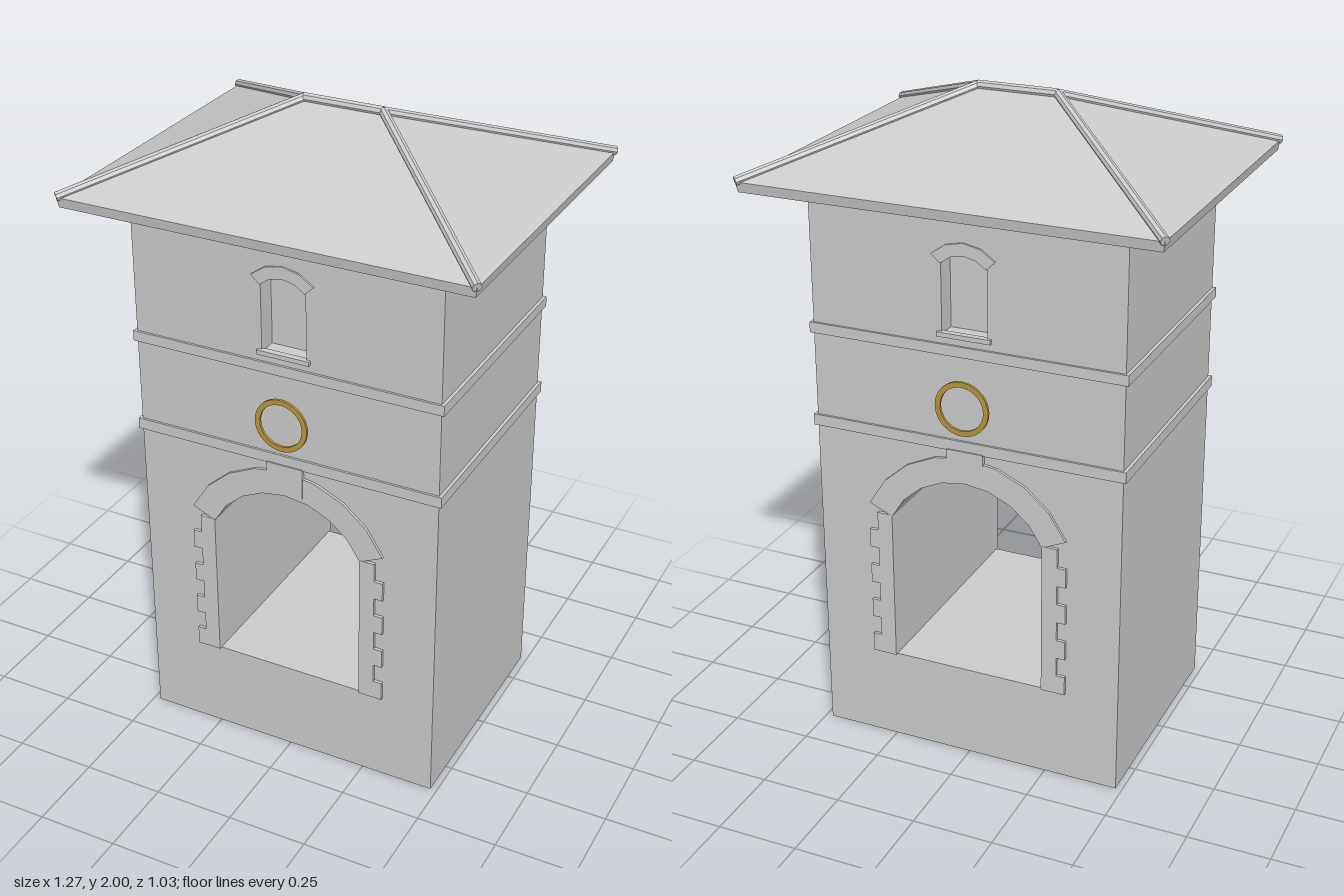
import * as THREE from 'three';

const W = 0.48, D = 0.365, H = 1.75; // half width, half depth and height of the tower

const stone = new THREE.MeshStandardMaterial({ color: 0xcccccc, flatShading: true, side: THREE.DoubleSide });
const gold = new THREE.MeshStandardMaterial({ color: 0xb8963c });

function add(parent, name, geometry, material = stone) {
  const mesh = new THREE.Mesh(geometry, material);
  mesh.name = name;
  parent.add(mesh);
  return mesh;
}

// Points of a segmental arch from right to left, offset outwards by t
function arch(half, spring, top, n, t = 0) {
  const rise = top - spring;
  const r = (half * half + rise * rise) / (2 * rise);
  const cy = top - r;
  const a0 = Math.atan2(spring - cy, half);
  return Array.from({ length: n + 1 }, (_, i) => {
    const a = a0 + (Math.PI - 2 * a0) * i / n;
    return new THREE.Vector2(Math.cos(a) * (r + t), cy + Math.sin(a) * (r + t));
  });
}

function opening(half, bottom, spring, top, n) {
  return [new THREE.Vector2(-half, bottom), new THREE.Vector2(half, bottom), ...arch(half, spring, top, n)];
}

const archBand = (half, spring, top, n, t) =>
  new THREE.Shape([...arch(half, spring, top, n), ...arch(half, spring, top, n, t).reverse()]);

// Slab of a shape between two depths
function slab(shape, z0, z1) {
  return new THREE.ExtrudeGeometry(shape, { depth: z1 - z0, bevelEnabled: false }).translate(0, 0, z0);
}

// Inner lining of an opening: its outline swept from z0 to z1
function lining(points, z0, z1) {
  const pos = [];
  points.forEach((a, i) => {
    const b = points[(i + 1) % points.length];
    pos.push(a.x, a.y, z0, a.x, a.y, z1, b.x, b.y, z1, a.x, a.y, z0, b.x, b.y, z1, b.x, b.y, z0);
  });
  const g = new THREE.BufferGeometry();
  g.setAttribute('position', new THREE.Float32BufferAttribute(pos, 3));
  g.computeVertexNormals();
  return g;
}

const rect = (x, z) => [[-x, -z], [x, -z], [x, z], [-x, z]].map(p => new THREE.Vector2(...p));

// Moulding that wraps all four walls
function course(x, z, y0, y1) {
  const shape = new THREE.Shape(rect(x, z));
  shape.holes.push(new THREE.Path(rect(W - 0.002, D - 0.002)));
  return slab(shape, 0, y1 - y0).rotateX(-Math.PI / 2).translate(0, y0, 0);
}

// Round capping between two points
function cap(a, b, r) {
  const dir = b.clone().sub(a);
  const g = new THREE.CylinderGeometry(r, r, dir.length(), 8);
  g.applyQuaternion(new THREE.Quaternion().setFromUnitVectors(new THREE.Vector3(0, 1, 0), dir.normalize()));
  return g.translate((a.x + b.x) / 2, (a.y + b.y) / 2, (a.z + b.z) / 2);
}

const gate = opening(0.24, 0.29, 0.765, 0.92, 8);
const windowHole = opening(0.07, 1.37, 1.58, 1.61, 4);

// One decorated face of the tower, facing +z
function createFace() {
  const face = new THREE.Group();
  const wall = new THREE.Shape([[-W, 0], [W, 0], [W, H], [-W, H]].map(p => new THREE.Vector2(...p)));
  wall.holes.push(new THREE.Path(gate), new THREE.Path(windowHole));
  add(face, 'wall', new THREE.ShapeGeometry(wall).translate(0, 0, D));

  // Gate surround: toothed jambs, arch and keystone
  for (const s of [1, -1]) {
    const jamb = new THREE.Shape();
    jamb.moveTo(s * 0.24, 0.29);
    for (let i = 0; i < 8; i++) {
      const x = s * (i % 2 ? 0.288 : 0.315);
      jamb.lineTo(x, 0.29 + i * 0.06);
      jamb.lineTo(x, 0.35 + i * 0.06);
    }
    jamb.lineTo(s * 0.24, 0.77);
    add(face, s > 0 ? 'leftJamb' : 'rightJamb', slab(jamb, D - 0.005, 0.375));
  }
  add(face, 'gateArch', slab(archBand(0.24, 0.765, 0.92, 8, 0.08), D - 0.005, 0.374));
  add(face, 'keystone', new THREE.BoxGeometry(0.115, 0.1, 0.016).translate(0, 0.972, D + 0.003));

  // Recessed window with hood and sill
  add(face, 'windowReveal', lining(windowHole, D - 0.06, D));
  add(face, 'windowBack', new THREE.ShapeGeometry(new THREE.Shape(windowHole)).translate(0, 0, D - 0.06));
  add(face, 'windowHood', slab(archBand(0.07, 1.58, 1.61, 4, 0.037), D - 0.005, 0.371));
  add(face, 'windowSill', new THREE.BoxGeometry(0.165, 0.014, 0.02).translate(0, 1.371, D));

  // Thin gilded ring held just off the wall
  const ring = new THREE.Shape().absarc(0, 0, 0.083, 0, Math.PI * 2);
  ring.holes.push(new THREE.Path().absarc(0, 0, 0.067, 0, Math.PI * 2));
  const ringGeometry = new THREE.ExtrudeGeometry(ring, { depth: 0.008, bevelEnabled: false, curveSegments: 24 });
  add(face, 'ring', ringGeometry.translate(0, 1.162, 0.384), gold);
  return face;
}

// Hipped roof: loops of underside, eave and ridge
function roofGeometry() {
  const loops = [[0.62, 1.75, 0.5], [0.625, 1.78, 0.505], [0.12, 1.983, 0]].map(([x, y, z]) =>
    [[x, y, z], [x, y, -z], [-x, y, -z], [-x, y, z]]);
  const pos = [];
  const quad = (a, b, c, d) => pos.push(...a, ...b, ...c, ...a, ...c, ...d);
  for (let k = 0; k < 2; k++) {
    for (let i = 0; i < 4; i++) {
      const j = (i + 1) % 4;
      quad(loops[k][i], loops[k][j], loops[k + 1][j], loops[k + 1][i]);
    }
  }
  quad(loops[0][3], loops[0][2], loops[0][1], loops[0][0]);
  const g = new THREE.BufferGeometry();
  g.setAttribute('position', new THREE.Float32BufferAttribute(pos, 3));
  g.computeVertexNormals();
  return g;
}

export function createModel() {
  const model = new THREE.Group();
  model.name = 'gateTower';

  // Decorated front and back
  const front = createFace();
  front.name = 'frontFace';
  const back = createFace();
  back.name = 'backFace';
  back.rotation.y = Math.PI;
  model.add(front, back);

  // Plain side walls, open at the base
  for (const s of [1, -1]) {
    const side = new THREE.PlaneGeometry(2 * D, H).rotateY(s * Math.PI / 2).translate(s * W, H / 2, 0);
    add(model, s > 0 ? 'leftWall' : 'rightWall', side);
  }

  // Passage through the tower
  add(model, 'passage', lining(gate, -D, D));

  // String courses and cornice
  add(model, 'lowerCourse', course(0.49, 0.372, 1.018, 1.052));
  add(model, 'upperCourse', course(0.49, 0.372, 1.31, 1.342));
  add(model, 'cornice', course(0.49, 0.372, 1.708, H));

  // Roof with round hip and ridge caps
  add(model, 'roof', roofGeometry());
  const end = s => new THREE.Vector3(s * 0.122, 1.985, 0);
  add(model, 'ridgeCap', cap(end(-1), end(1), 0.015));
  for (const sx of [1, -1]) {
    for (const sz of [1, -1]) {
      add(model, 'hipCap', cap(end(sx), new THREE.Vector3(sx * 0.625, 1.782, sz * 0.505), 0.014));
    }
  }
  return model;
}
